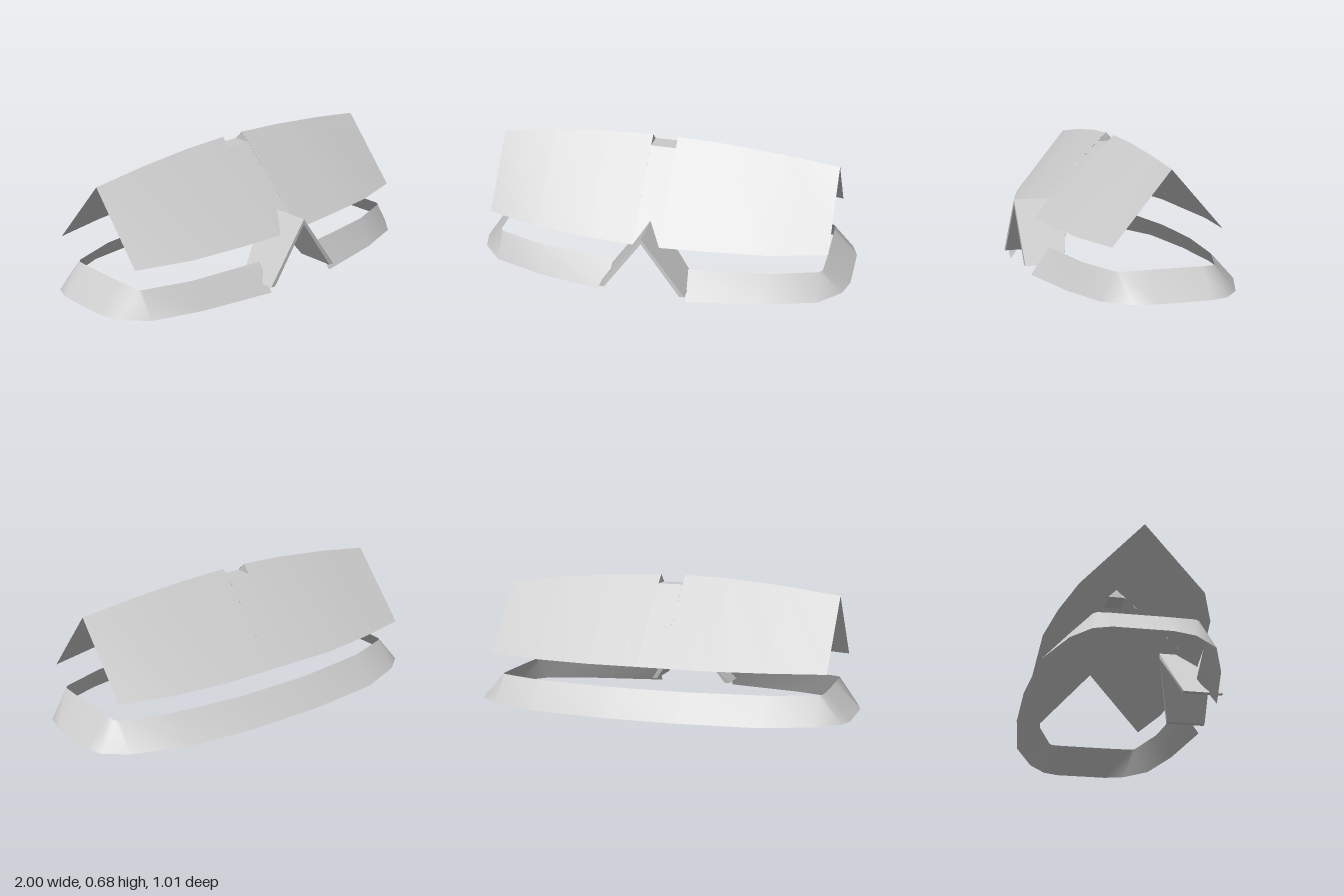
import * as THREE from 'three';

const material = new THREE.MeshStandardMaterial({ color: 0xcccccc, side: THREE.DoubleSide });

// Smooth ruled surface between two rails with the same number of points
function ruled(name, upper, lower) {
  const geo = new THREE.BufferGeometry();
  const index = [];
  const n = upper.length;
  for (let i = 0; i < n - 1; i++) index.push(i, n + i, n + i + 1, i, n + i + 1, i + 1);
  geo.setAttribute('position', new THREE.Float32BufferAttribute([...upper, ...lower].flat(), 3));
  geo.setIndex(index);
  geo.computeVertexNormals();
  const mesh = new THREE.Mesh(geo, material);
  mesh.name = name;
  return mesh;
}

// Tent roof: bowed ridge, bowed eaves and a smoke notch in the middle
function createRoof() {
  const roof = new THREE.Group();
  roof.name = 'roof';
  const eaveY = 0.26, ridgeZ = -0.02, notchY = 0.635;
  // x, ridge height, front eave z, back eave z
  const left = [
    [-0.905, 0.605, 0.262, -0.33], [-0.62, 0.643, 0.355, -0.393],
    [-0.33, 0.67, 0.392, -0.434], [-0.085, 0.68, 0.41, -0.434],
  ];
  const right = [
    [0.047, 0.68, 0.41, -0.434], [0.31, 0.668, 0.385, -0.434],
    [0.61, 0.643, 0.35, -0.402], [0.892, 0.61, 0.27, -0.33],
  ];
  const ridge = (s) => s.map(([x, y]) => [x, y, ridgeZ]);
  const front = (s) => s.map(([x, , z]) => [x, eaveY, z]);
  const back = (s) => s.map(([x, , , z]) => [x, eaveY, z]);
  for (const half of [left, right]) {
    roof.add(ruled('frontSlope', ridge(half), front(half)));
    roof.add(ruled('backSlope', back(half), ridge(half)));
  }

  // Notch strip: slopes cut off by a level floor, closed by small cheeks
  const mid = [left[3], right[0]];
  const cutFront = mid.map(([x]) => [x, notchY, 0.025]);
  const cutBack = mid.map(([x]) => [x, notchY, -0.065]);
  roof.add(ruled('frontSlopeMiddle', cutFront, front(mid)));
  roof.add(ruled('backSlopeMiddle', back(mid), cutBack));
  roof.add(ruled('notchFloor', cutBack, cutFront));
  mid.forEach((s, i) => {
    const top = [s[0], s[1], ridgeZ];
    roof.add(ruled('notchCheek', [top, top], [cutBack[i], cutFront[i]]));
  });
  return roof;
}

// Low sloping wall around the hut, open at the doorway
function createWall() {
  // outer x, z at the ground, then inner x, z at the top
  const half = [
    [0.21, 0.477, 0.2, 0.378], [0.6, 0.405, 0.61, 0.325], [0.86, 0.32, 0.85, 0.245],
    [0.97, 0.2, 0.866, 0.225], [1, 0.09, 0.87, 0.08], [1, -0.19, 0.87, -0.18],
    [0.97, -0.275, 0.866, -0.24], [0.86, -0.365, 0.85, -0.258], [0.6, -0.467, 0.61, -0.34],
    [0.19, -0.507, 0.2, -0.39],
  ];
  const mirrored = half.map(([a, b, c, d]) => [-a, b, -c, d]).reverse();
  const path = [...half, ...mirrored];
  return ruled('wall',
    path.map(([, , x, z]) => [x, 0.138, z]),
    path.map(([x, z]) => [x, 0.003, z]));
}

// One leaning porch panel, thin, with a slanted rear edge
function porchPanel(name, side) {
  const apexX = -0.015, width = 0.225, top = 0.355, bottom = 0.048;
  const shape = new THREE.Shape([
    new THREE.Vector2(0.505, 0), new THREE.Vector2(0.505, 1),
    new THREE.Vector2(0.222, 1), new THREE.Vector2(0.3, 0),
  ]);
  const geo = new THREE.ExtrudeGeometry(shape, { depth: 0.028, bevelEnabled: false });
  const p = geo.attributes.position;
  for (let i = 0; i < p.count; i++) {
    const z = p.getX(i), t = p.getY(i), inset = p.getZ(i);
    // thickness narrows to nothing at the shared apex line
    const y = bottom + (top - bottom) * t - (t > 0.5 ? inset : 0);
    const x = apexX + side * (width * (1 - t) - (t > 0.5 ? 0 : inset));
    p.setXYZ(i, x, y, z);
  }
  geo.computeVertexNormals();
  const mesh = new THREE.Mesh(geo, material);
  mesh.name = name;
  return mesh;
}

export function createModel() {
  const model = new THREE.Group();
  model.name = 'hut';
  const porch = new THREE.Group();
  porch.name = 'porch';
  porch.add(porchPanel('leftPorchPanel', 1), porchPanel('rightPorchPanel', -1));
  model.add(createRoof(), createWall(), porch);
  return model;
}
